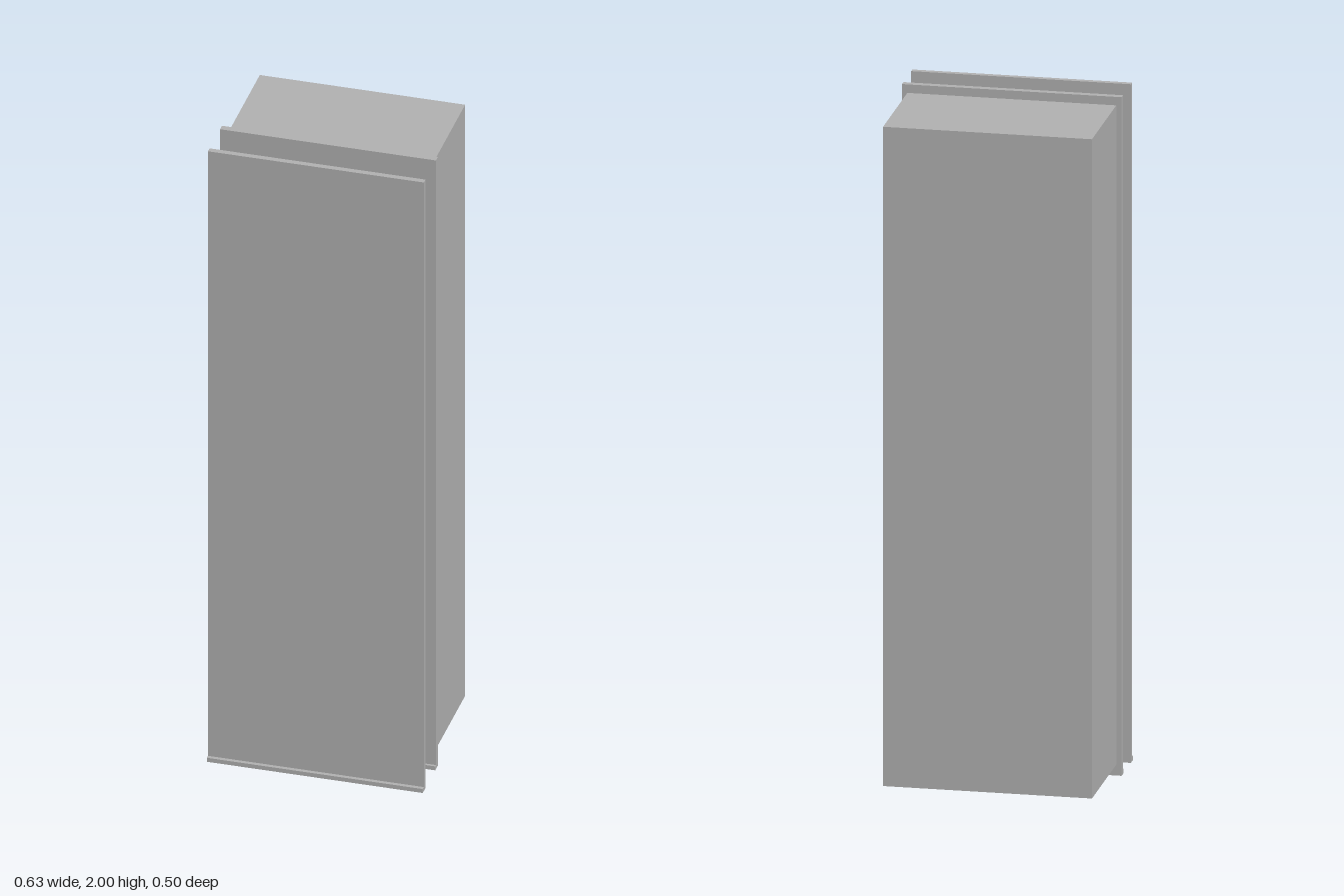
import * as THREE from 'three';

const grey = new THREE.MeshStandardMaterial({ color: 0xb2b2b2 });
grey.name = 'plain grey';

function add(parent, name, geometry, x = 0, y = 0, z = 0) {
  const mesh = new THREE.Mesh(geometry, grey);
  mesh.name = name;
  mesh.position.set(x, y, z);
  parent.add(mesh);
  return mesh;
}

const extrude = (points, depth) => new THREE.ExtrudeGeometry(
  new THREE.Shape(points.map(([a, b]) => new THREE.Vector2(a, b))),
  { depth, bevelEnabled: false }
).translate(0, 0, -depth / 2);

// Upright sheet with a small lip along its bottom front edge
function panelGeometry(back, front, lip) {
  const profile = [[back, 0], [lip, 0], [lip, 0.013], [front, 0.013], [front, 2], [back, 2]];
  return extrude(profile, 0.633).rotateY(-Math.PI / 2);
}

// Catch: thin mounting plate plus a sloped body, flat in plan
function createCatch() {
  const group = new THREE.Group();
  group.name = 'catch';
  const profile = [
    [-0.085, 0.13], [0.09, 0.13], [0.09, 0.136], [0.067, 0.151],
    [-0.003, 0.16], [-0.048, 0.187], [-0.088, 0.179]
  ];
  add(group, 'catchPlate', new THREE.BoxGeometry(0.183, 0.082, 0.011), 0, 0, 0.1255);
  add(group, 'catchBody', extrude(profile, 0.073).rotateX(Math.PI / 2));
  return group;
}

export function createModel() {
  const model = new THREE.Group();
  model.name = 'cabinet';

  add(model, 'cabinetBody', new THREE.BoxGeometry(0.602, 1.943, 0.338), 0, 1.0035, -0.079);
  add(model, 'innerPanel', panelGeometry(0.09, 0.11, 0.118));
  add(model, 'frontPanel', panelGeometry(0.219, 0.236, 0.2475));

  // Two columns of catches, each with a thin tab on the front panel below it
  for (const y of [0.185, 0.545, 0.905, 1.265, 1.625, 1.865]) {
    for (const x of [-0.148, 0.156]) {
      const unit = createCatch();
      unit.position.set(x, y, 0);
      model.add(unit);
      add(model, 'panelTab', new THREE.BoxGeometry(0.087, 0.006, 0.026), x - 0.005, y - 0.075, 0.207);
    }
  }
  return model;
}
